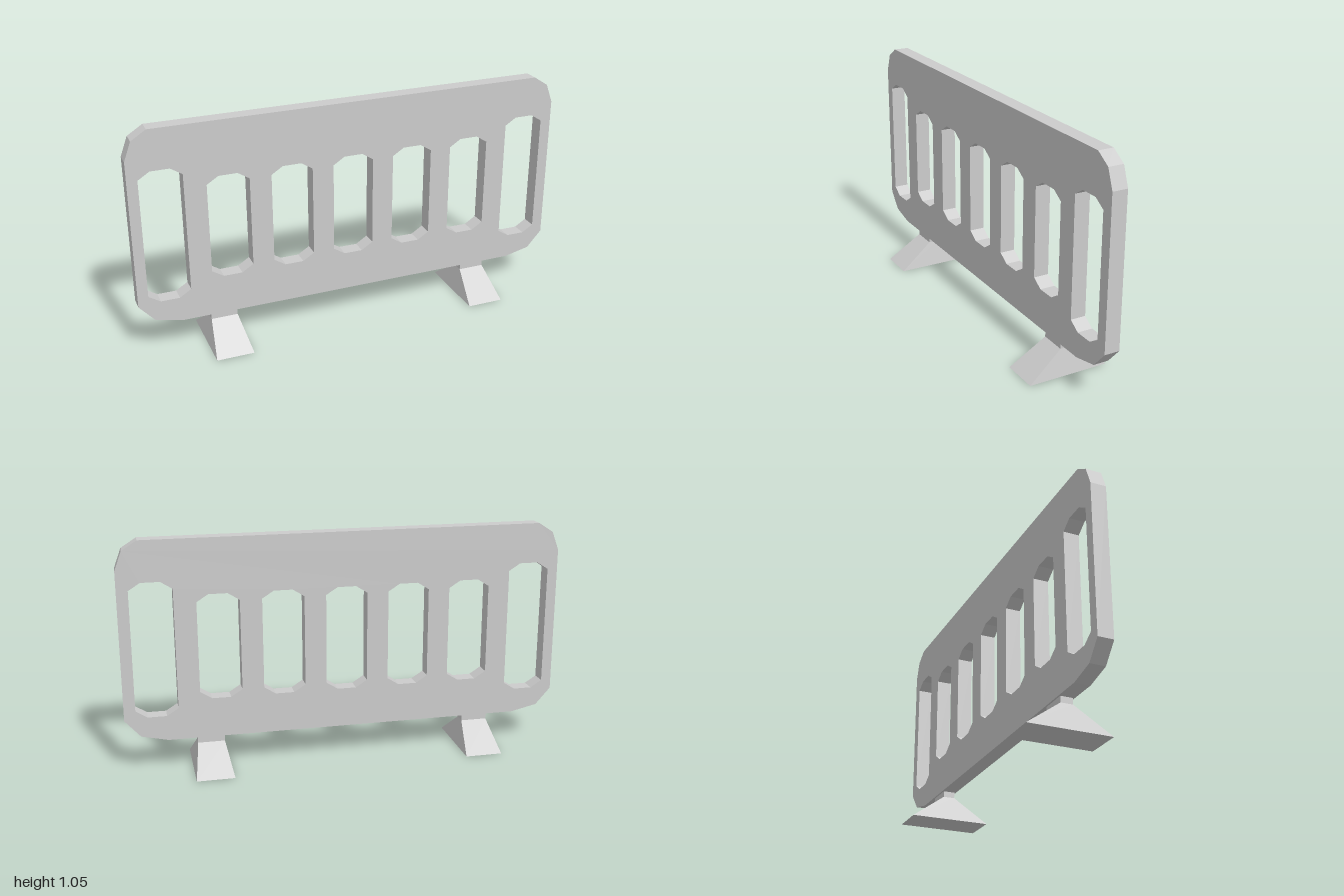
import * as THREE from 'three';

const grey = new THREE.MeshStandardMaterial({ color: 0xcccccc, flatShading: true });
const DEPTH = 0.069;

function part(name, geometry, x = 0, y = 0, z = 0) {
  const mesh = new THREE.Mesh(geometry, grey);
  mesh.name = name;
  mesh.position.set(x, y, z);
  return mesh;
}

// Closed outline from its right half (bottom to top), mirrored about x = cx
function mirrored(half, cx, Type) {
  const right = half.map(([x, y]) => new THREE.Vector2(cx + x, y));
  const left = half.map(([x, y]) => new THREE.Vector2(cx - x, y)).reverse();
  return new Type([...right, ...left]);
}

// Slot with faceted, bowed ends
function slot(cx, bottom, top) {
  const w = 0.094, n = 0.042, rise = 0.033;
  return mirrored([[n, bottom], [w, bottom + rise], [w, top - rise], [n, top]], cx, THREE.Path);
}

// Panel with chamfered corners and seven slots
function panelGeometry() {
  const shape = mirrored(
    [[0.81, 0.145], [0.93, 0.172], [0.999, 0.25], [0.999, 0.922], [0.967, 1.007], [0.9, 1.05]],
    0, THREE.Shape);
  for (let i = -3; i <= 3; i++) {
    const outer = Math.abs(i) === 3;
    shape.holes.push(slot(i * 0.2855 - 0.002, outer ? 0.259 : 0.326, outer ? 0.867 : 0.802));
  }
  const geometry = new THREE.ExtrudeGeometry(shape, { depth: DEPTH, bevelEnabled: false });
  return geometry.translate(0, 0, -DEPTH / 2);
}

// Wedge-shaped foot: a box narrowed towards its top
function footGeometry() {
  const geometry = new THREE.BoxGeometry(0.17, 0.117, 0.372);
  const p = geometry.attributes.position;
  for (let i = 0; i < p.count; i++) {
    if (p.getY(i) > 0) p.setXYZ(i, p.getX(i) * 0.706, p.getY(i), p.getZ(i) * 0.145);
  }
  geometry.computeVertexNormals();
  return geometry.translate(0, 0.0585, 0);
}

export function createModel() {
  const barrier = new THREE.Group();
  barrier.name = 'barrier';
  barrier.add(part('panel', panelGeometry()));

  // Feet, each with a short neck below the panel
  for (const side of [-1, 1]) {
    const foot = new THREE.Group();
    foot.name = side > 0 ? 'leftFoot' : 'rightFoot';
    foot.position.x = side * 0.621;
    foot.add(part('footWedge', footGeometry()));
    foot.add(part('footNeck', new THREE.BoxGeometry(0.12, 0.03, 0.054), 0, 0.132));
    barrier.add(foot);
  }

  // The whole barrier stands slightly turned
  barrier.rotation.y = -0.0205;
  const model = new THREE.Group();
  model.name = 'trafficBarrier';
  model.add(barrier);
  return model;
}
